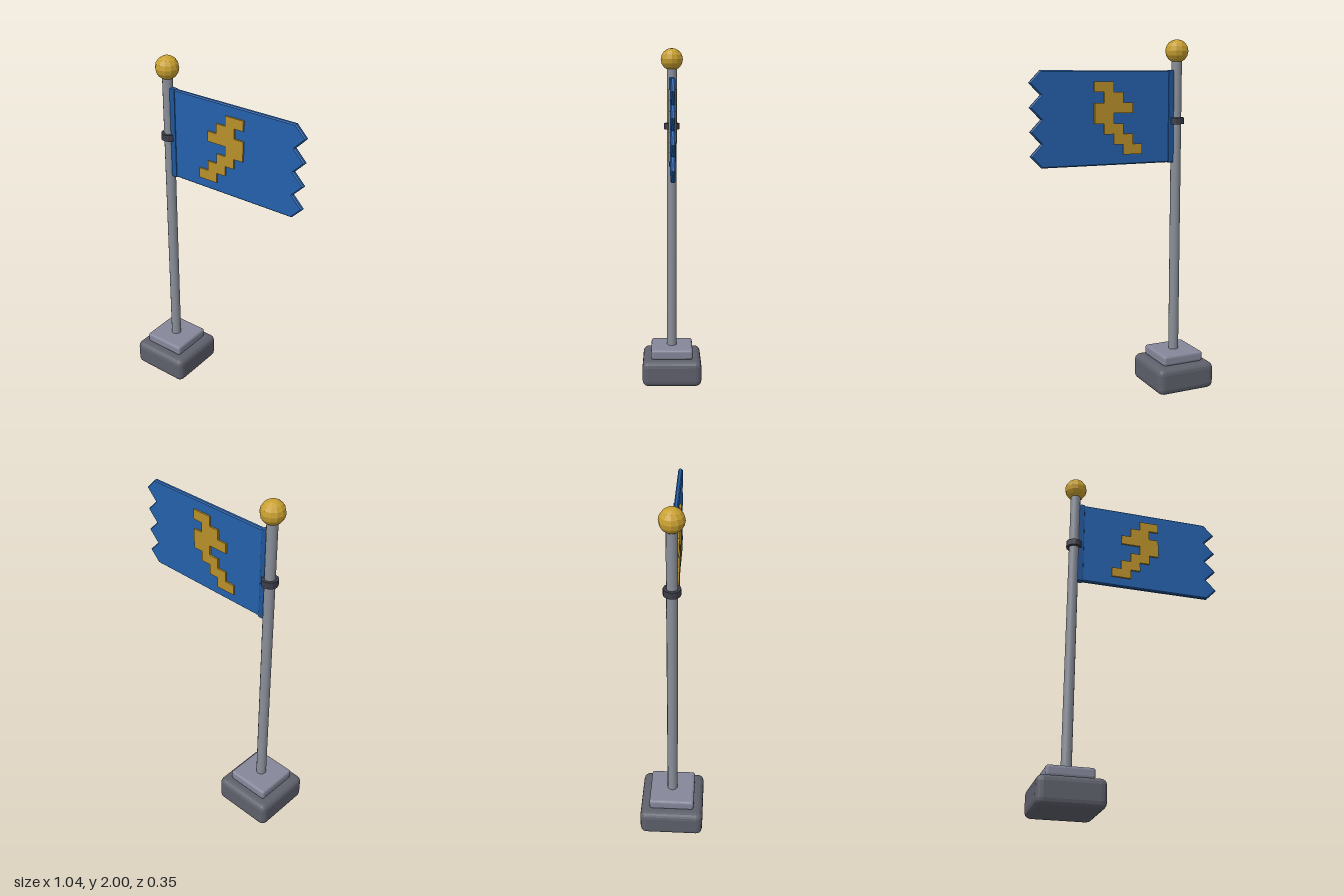
import * as THREE from 'three';
import { RoundedBoxGeometry } from 'three/addons/geometries/RoundedBoxGeometry.js';

const POLE_X = -0.345;

export function createModel() {
  const model = new THREE.Group();
  model.name = 'flagpole';

  const add = (name, geometry, color, x = 0, y = 0, z = 0, flatShading = true) => {
    const mesh = new THREE.Mesh(geometry, new THREE.MeshStandardMaterial({ color, flatShading }));
    mesh.name = name;
    mesh.position.set(x, y, z);
    model.add(mesh);
    return mesh;
  };

  // Extrude a point outline symmetrically about z = 0, bevel kept inside the outline
  const slab = (points, halfDepth, bevel) => {
    const shape = new THREE.Shape(points.map(([x, y]) => new THREE.Vector2(x, y)));
    const depth = 2 * (halfDepth - bevel);
    return new THREE.ExtrudeGeometry(shape, {
      depth, bevelEnabled: bevel > 0, bevelThickness: bevel, bevelSize: bevel,
      bevelOffset: -bevel, bevelSegments: 1,
    }).translate(0, 0, -depth / 2);
  };

  // Stepped base
  add('base', new RoundedBoxGeometry(0.355, 0.155, 0.355, 2, 0.035), 0x5e606b, POLE_X, 0.0795);
  add('plinth', new RoundedBoxGeometry(0.252, 0.06, 0.252, 2, 0.015), 0x85879a, POLE_X, 0.187);

  // Pole, finial ball and clamp ring
  add('pole', new THREE.CylinderGeometry(0.029, 0.029, 1.72, 12), 0x8a8f99, POLE_X, 1.06, 0, false);
  add('finialBall', new THREE.SphereGeometry(0.064, 12, 8), 0xc9a030, POLE_X, 1.936);
  add('clampRing', new THREE.CylinderGeometry(0.045, 0.045, 0.036, 12), 0x3b3d49, POLE_X, 1.553);

  // Banner cloth with a zigzag free edge
  const bottom = 1.322, top = 1.83, teeth = 4;
  const cloth = [[-0.3, top], [-0.3, bottom]];
  const step = (top - bottom) / (2 * teeth);
  for (let i = 0; i <= 2 * teeth; i++) cloth.push([i % 2 ? 0.52 : 0.458, bottom + i * step]);
  add('bannerCloth', slab(cloth, 0.012, 0.006), 0x2460ab);
  add('bannerSleeve', new RoundedBoxGeometry(0.036, 0.512, 0.034, 1, 0.006), 0x1f5599, -0.307, 1.576);

  // Stepped bolt emblem: left and right column of each row, top to bottom
  const rows = [[3, 5], [2, 4], [1, 5], [3, 5], [2, 4], [1, 3], [0, 2]];
  const cell = 0.0563, left = [], right = [];
  rows.forEach(([a, b], i) => {
    const y0 = 1.772 - i * cell, y1 = y0 - cell;
    left.push([-0.122 + a * cell, y0], [-0.122 + a * cell, y1]);
    right.push([-0.122 + b * cell, y0], [-0.122 + b * cell, y1]);
  });
  add('boltEmblem', slab([...left, ...right.reverse()], 0.021, 0), 0xb8902a);

  return model;
}
